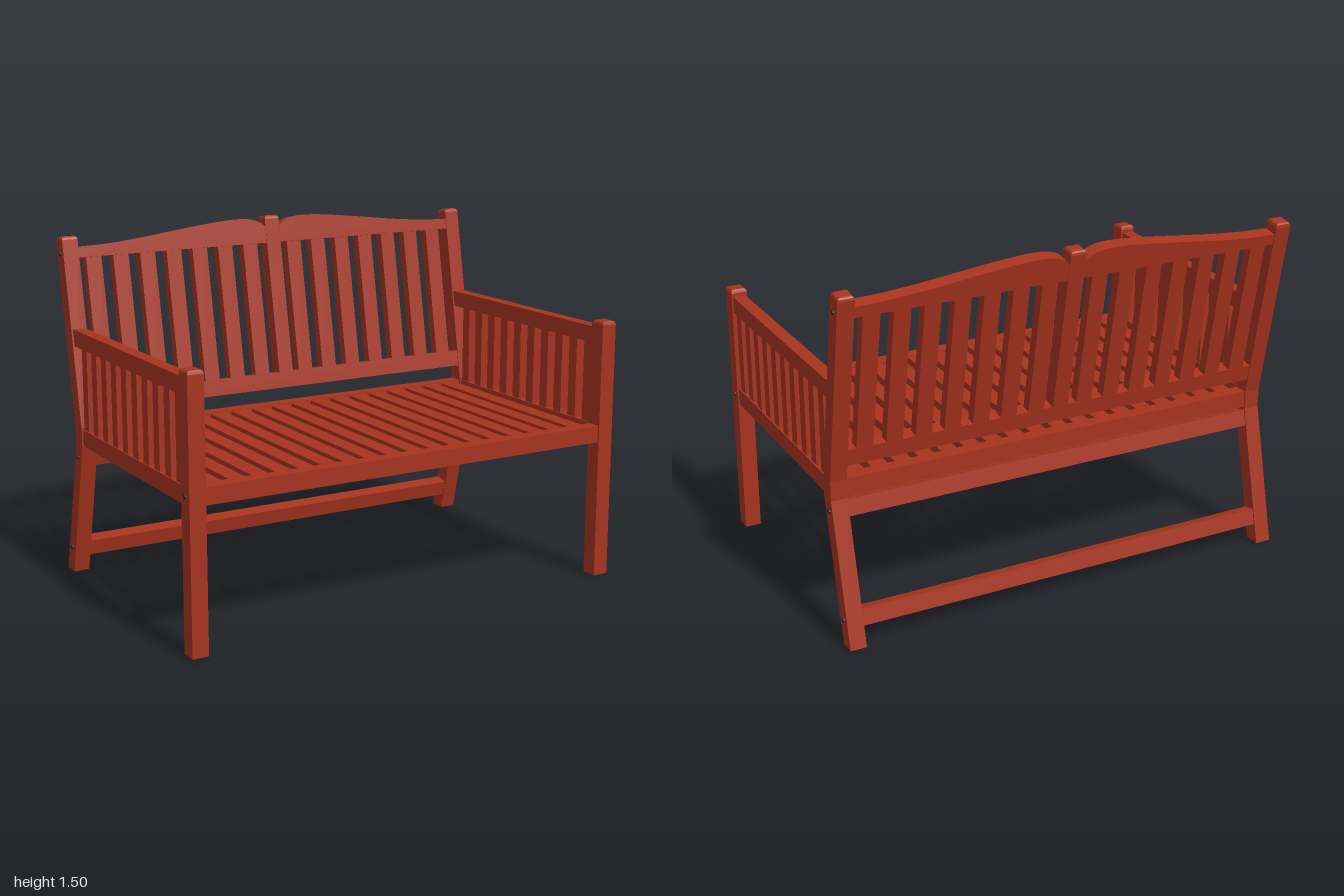
import * as THREE from 'three';

const wood = new THREE.MeshStandardMaterial({ color: 0xa6331f });
wood.name = 'red stained wood';
const dark = new THREE.MeshStandardMaterial({ color: 0x2b2a2c });
dark.name = 'dark metal';

function add(parent, name, geometry, material, x = 0, y = 0, z = 0) {
  const mesh = new THREE.Mesh(geometry, material);
  mesh.name = name;
  mesh.position.set(x, y, z);
  parent.add(mesh);
  return mesh;
}

// Box given by its limits on each axis
function board(parent, name, [x0, x1], [y0, y1], [z0, z1]) {
  return add(parent, name, new THREE.BoxGeometry(x1 - x0, y1 - y0, z1 - z0), wood,
    (x0 + x1) / 2, (y0 + y1) / 2, (z0 + z1) / 2);
}

// Post standing on y = 0 with a rounded top edge
function postGeometry(w, h, d) {
  const rings = [[0, 0], [h - 0.016, 0], [h - 0.007, 0.003], [h - 0.002, 0.008], [h, 0.015]]; // height, inset
  const g = new THREE.BoxGeometry(w, h, d, 1, rings.length - 1, 1).toNonIndexed();
  const p = g.attributes.position;
  for (let i = 0; i < p.count; i++) {
    const [y, inset] = rings[Math.round((p.getY(i) / h + 0.5) * (rings.length - 1))];
    p.setXYZ(i, p.getX(i) * (1 - 2 * inset / w), y, p.getZ(i) * (1 - 2 * inset / d));
  }
  g.computeVertexNormals();
  return g;
}

export function createModel() {
  const bench = new THREE.Group();
  bench.name = 'bench';
  const LEG_X = 0.9605, LEG_W = 0.069, INNER = 0.93;

  // Backrest frame leans back from the knee of the rear legs
  const backrest = new THREE.Group();
  backrest.name = 'backrest';
  backrest.position.set(0, 0.675, -0.4485);
  backrest.rotation.x = -0.184;
  bench.add(backrest);

  // Lower rear leg outline as (z, y)
  const legShape = new THREE.Shape([
    [-0.627, 0.006], [-0.557, 0.006], [-0.415, 0.597], [-0.415, 0.681], [-0.484, 0.669], [-0.484, 0.592],
  ].map(([z, y]) => new THREE.Vector2(z, y)));
  const rearLeg = new THREE.ExtrudeGeometry(legShape, { depth: LEG_W, bevelEnabled: false });
  rearLeg.translate(0, 0, -LEG_W / 2);
  rearLeg.rotateY(-Math.PI / 2);

  const boltGeometry = new THREE.CylinderGeometry(0.009, 0.009, 0.012, 12);
  boltGeometry.rotateZ(Math.PI / 2);

  for (const s of [1, -1]) {
    const side = s > 0 ? 'left' : 'right';
    const span = (a, b) => (s > 0 ? [a, b] : [-b, -a]);

    // Legs and feet
    add(bench, side + 'FrontLeg', postGeometry(LEG_W, 1.116, 0.071), wood, s * LEG_X, 0.006, 0.5945);
    add(bench, side + 'RearLeg', rearLeg, wood, s * LEG_X);
    add(backrest, side + 'RearUpright', postGeometry(LEG_W, 0.806, 0.068), wood, s * LEG_X, 0, -0.001);
    for (const z of [0.5945, -0.592])
      add(bench, side + 'FootPad', new THREE.BoxGeometry(0.052, 0.007, 0.052), dark, s * LEG_X, 0.0035, z);

    // Bolt heads
    for (const [y, z] of [[0.638, 0.594], [0.543, -0.466], [0.115, -0.567], [1.396, -0.585]])
      add(bench, side + 'Bolt', boltGeometry, dark, s * 0.994, y, z);

    // Arm panel
    board(bench, side + 'Armrest', span(0.933, 0.988), [1.02, 1.09], [-0.5, 0.57]);
    board(bench, side + 'SeatSideRail', span(0.933, 0.988), [0.6, 0.672], [-0.43, 0.57]);
    for (let i = 0; i < 10; i++) {
      const z = 0.52 - i * 0.101;
      board(bench, side + 'ArmSlat', span(0.939, 0.982), [0.665, 1.025], [z - 0.0255, z + 0.0255]);
    }
  }

  // Seat
  board(bench, 'seatFrontRail', [-INNER, INNER], [0.6, 0.672], [0.563, 0.622]);
  board(bench, 'seatRearRail', [-INNER, INNER], [0.6, 0.672], [-0.478, -0.42]);
  for (let i = 0; i < 18; i++) {
    const x = (i - 8.5) * 0.101;
    board(bench, 'seatSlat', [x - 0.035, x + 0.035], [0.622, 0.667], [-0.425, 0.57]);
  }

  // Rear apron and stretcher follow the slope of the lower legs
  for (const [name, y, z] of [['rearApron', 0.545, -0.461], ['rearStretcher', 0.115, -0.565]]) {
    const rail = add(bench, name, new THREE.BoxGeometry(INNER * 2, 0.069, 0.057), wood, 0, y, z);
    rail.rotation.x = 0.238;
  }

  // Backrest rail, slats and centre post
  board(backrest, 'backLowerRail', [-INNER, INNER], [0.062, 0.133], [-0.03, 0.03]);
  for (const s of [1, -1])
    for (let i = 0; i < 7; i++) {
      const x = s * (0.11 + i * 0.124);
      board(backrest, 'backSlat', [x - 0.035, x + 0.035], [0.125, 0.725], [-0.029, 0.014]);
    }
  add(backrest, 'centrePost', postGeometry(0.069, 0.705, 0.064), wood, 0, 0.129, 0);

  // Curved top rail, one half mirrored on each side of the centre post
  const crest = [[0.8, 0.762], [0.65, 0.775], [0.5, 0.793], [0.35, 0.811], [0.22, 0.823],
    [0.14, 0.824], [0.09, 0.816], [0.055, 0.801], [0.03, 0.78]];
  for (const s of [1, -1]) {
    const shape = new THREE.Shape();
    shape.moveTo(s * 0.03, 0.712);
    shape.lineTo(s * 0.93, 0.712);
    shape.lineTo(s * 0.93, 0.758);
    shape.splineThru(crest.map(([x, y]) => new THREE.Vector2(s * x, y)));
    const g = new THREE.ExtrudeGeometry(shape, { depth: 0.06, bevelEnabled: false, curveSegments: 4 });
    g.translate(0, 0, -0.03);
    add(backrest, (s > 0 ? 'left' : 'right') + 'TopRail', g, wood);
  }

  return bench;
}
